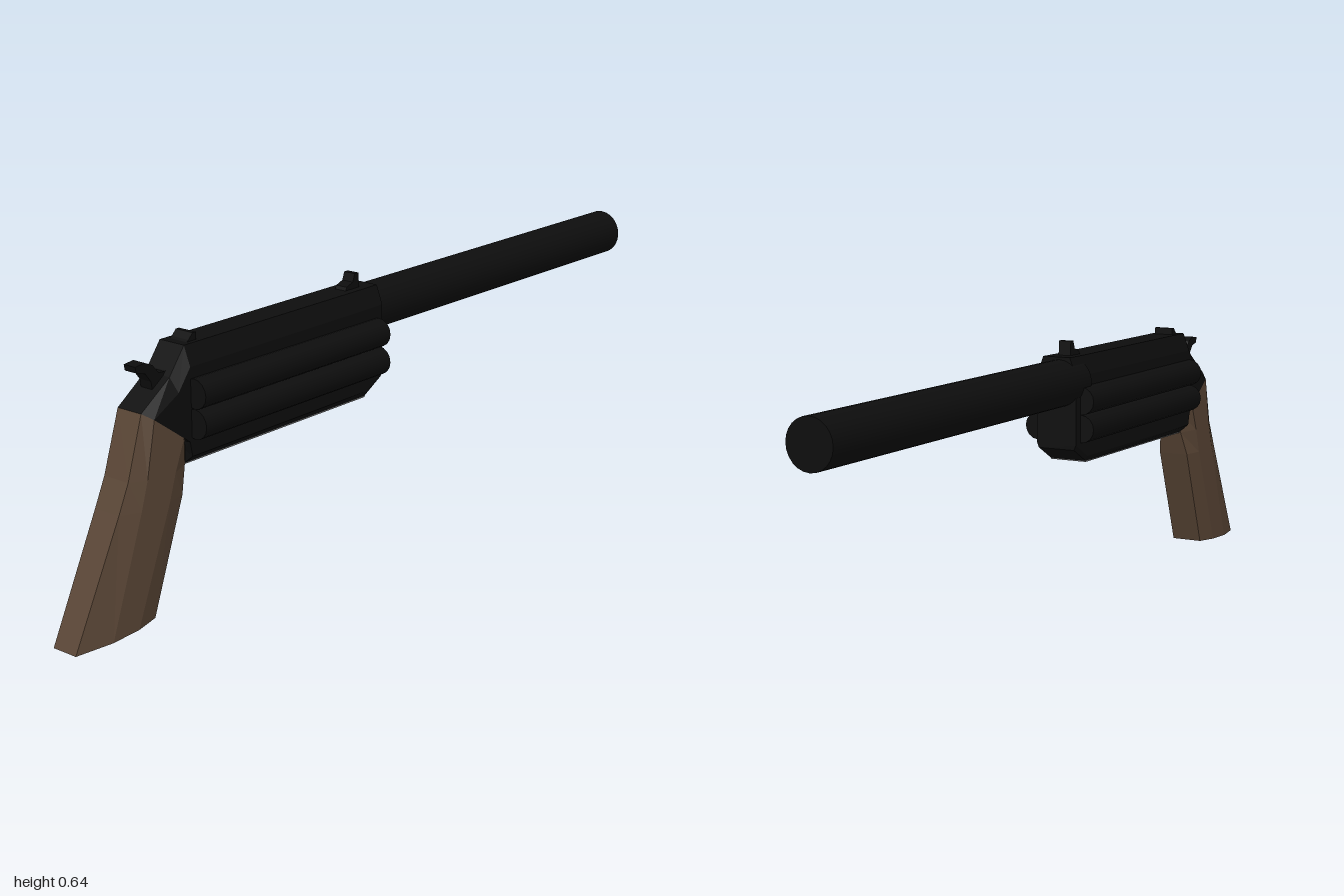
import * as THREE from 'three';

const black = new THREE.MeshStandardMaterial({ color: 0x0d0d0d });
const blackFlat = new THREE.MeshStandardMaterial({ color: 0x0d0d0d, flatShading: true });
const steel = new THREE.MeshStandardMaterial({ color: 0x666666, flatShading: true });
const wood = new THREE.MeshStandardMaterial({ color: 0x5a4636, flatShading: true });

// One chamfered section running from a to b in the xy plane:
// half-width w in the middle, wa and wb at the ends, chamfer depths ca and cb
function section(a, b, w, wa, wb, ca, cb) {
  const A = new THREE.Vector2(...a), B = new THREE.Vector2(...b);
  const len = A.distanceTo(B);
  const side = [
    [A, wa], [A.clone().lerp(B, ca / len), w],
    [B.clone().lerp(A, cb / len), w], [B, wb],
  ];
  return [
    ...side.map(([p, z]) => [p.x, p.y, z]),
    ...side.reverse().map(([p, z]) => [p.x, p.y, -z]),
  ];
}

// Closed, flat-shaded skin through a list of sections
function loft(sections) {
  const n = 8, index = [], last = (sections.length - 1) * n;
  for (let s = 0; s < sections.length - 1; s++) {
    for (let k = 0; k < n; k++) {
      const p0 = s * n + k, p1 = s * n + (k + 1) % n;
      index.push(p0, p0 + n, p1 + n, p0, p1 + n, p1);
    }
  }
  for (let k = 1; k < n - 1; k++) {
    index.push(0, k, k + 1, last, last + k + 1, last + k);
  }
  const g = new THREE.BufferGeometry();
  g.setAttribute('position', new THREE.Float32BufferAttribute(sections.flat(2), 3));
  g.setIndex(index);
  const flat = g.toNonIndexed();
  flat.computeVertexNormals();
  return flat;
}

// Side outline extruded across z, centred
function plate(points, width) {
  const shape = new THREE.Shape(points.map(([x, y]) => new THREE.Vector2(x, y)));
  const g = new THREE.ExtrudeGeometry(shape, { depth: width, bevelEnabled: false });
  return g.translate(0, 0, -width / 2);
}

// Cylinder lying along x
function rod(x0, x1, y, z, r, sides) {
  const g = new THREE.CylinderGeometry(r, r, x1 - x0, sides);
  return g.rotateZ(-Math.PI / 2).translate((x0 + x1) / 2, y, z);
}

export function createModel() {
  const model = new THREE.Group();
  const add = (name, geometry, material, z = -0.004) => {
    const mesh = new THREE.Mesh(geometry, material);
    mesh.name = name;
    mesh.position.z = z;
    model.add(mesh);
  };

  // Frame, from the slanted grip seam forward to the muzzle side
  add('frame', loft([
    section([-0.66, 0.385], [-0.79, 0.48], 0.053, 0.03, 0.035, 0.03, 0.025),
    section([-0.66, 0.365], [-0.705, 0.54], 0.053, 0.03, 0.036, 0.025, 0.035),
    section([-0.66, 0.335], [-0.66, 0.6], 0.053, 0.028, 0.036, 0.02, 0.045),
    section([-0.08, 0.346], [-0.08, 0.602], 0.053, 0.048, 0.036, 0.012, 0.045),
    section([-0.02, 0.38], [-0.02, 0.603], 0.053, 0.048, 0.036, 0.012, 0.045),
  ]), blackFlat);

  // Bare steel strip under the frame
  add('bottomPlate', loft([
    section([-0.66, 0.332], [-0.66, 0.338], 0.028, 0.028, 0.028, 0.001, 0.001),
    section([-0.08, 0.343], [-0.08, 0.349], 0.048, 0.048, 0.048, 0.001, 0.001),
  ]), steel);

  // Grip, from the seam down to the butt
  add('grip', loft([
    section([-0.79, 0.48], [-0.66, 0.385], 0.053, 0.035, 0.03, 0.025, 0.03),
    section([-0.835, 0.34], [-0.662, 0.332], 0.053, 0.036, 0.03, 0.04, 0.05),
    section([-0.865, 0.275], [-0.682, 0.27], 0.053, 0.036, 0.04, 0.05, 0.05),
    section([-1, 0.002], [-0.775, 0.014], 0.053, 0.034, 0.04, 0.09, 0.06),
  ]), wood);

  // Barrel
  add('barrel', rod(-0.08, 1, 0.54, 0, 0.057, 24), black, -0.011);

  // Two rounded ribs on each flank
  for (const side of [-1, 1]) {
    for (const y of [0.429, 0.497]) {
      add('sideRib', rod(-0.66, -0.043, y, side * 0.059, 0.034, 16), black, 0);
    }
  }

  // Hammer with a curled spur
  add('hammer', plate([
    [-0.785, 0.577], [-0.782, 0.563], [-0.757, 0.556], [-0.741, 0.535],
    [-0.735, 0.5], [-0.69, 0.5], [-0.685, 0.56], [-0.7, 0.548],
    [-0.718, 0.55], [-0.735, 0.57], [-0.757, 0.58],
  ], 0.034), blackFlat);

  // Sights
  add('rearSight', plate([
    [-0.655, 0.59], [-0.612, 0.59], [-0.612, 0.617], [-0.622, 0.617], [-0.635, 0.604],
  ], 0.05), blackFlat);
  add('frontSight', plate([
    [-0.115, 0.59], [-0.06, 0.59], [-0.063, 0.637], [-0.076, 0.637],
    [-0.083, 0.618], [-0.105, 0.61],
  ], 0.032), blackFlat);

  return model;
}
